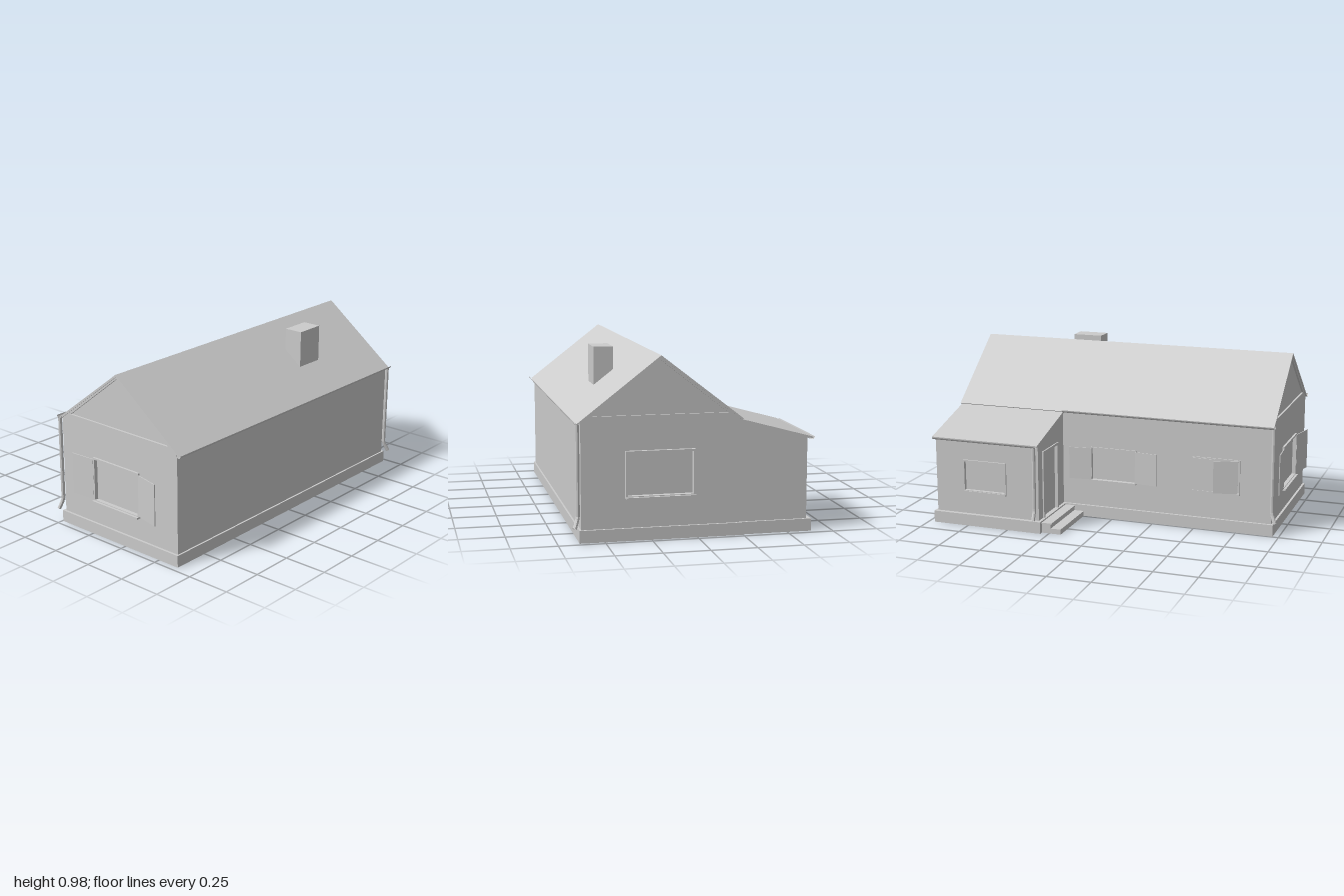
import * as THREE from 'three';

const mat = new THREE.MeshStandardMaterial({ color: 0xcccccc, flatShading: true, side: THREE.DoubleSide });
const T = 0.012; // wall thickness

function add(parent, name, geo, x = 0, y = 0, z = 0) {
  const m = new THREE.Mesh(geo, mat);
  m.name = name;
  m.position.set(x, y, z);
  parent.add(m);
  return m;
}
const poly = (pts) => new THREE.Shape(pts.map(([x, y]) => new THREE.Vector2(x, y)));
const rect = (x0, y0, x1, y1) => [[x0, y0], [x1, y0], [x1, y1], [x0, y1]];

// Flat slab from an outline, with optional holes, extruded along +z
function slab(outline, depth, holes = []) {
  const s = poly(outline);
  holes.forEach((h) => s.holes.push(poly(h)));
  return new THREE.ExtrudeGeometry(s, { depth, bevelEnabled: false });
}
const box = (p, name, x0, x1, y0, y1, z0, z1) =>
  add(p, name, new THREE.BoxGeometry(x1 - x0, y1 - y0, z1 - z0), (x0 + x1) / 2, (y0 + y1) / 2, (z0 + z1) / 2);

// Wall whose outer face is local z = 0; each recess becomes a hole closed by a panel behind
function wall(parent, name, outline, recesses, pos, turn) {
  const g = new THREE.Group();
  g.name = name;
  g.position.set(...pos);
  g.rotation.y = turn;
  add(g, name + 'Panel', slab(outline, T, recesses), 0, 0, -T);
  recesses.forEach((r) => add(g, 'recessPanel', new THREE.ShapeGeometry(poly(r)), 0, 0, -T + 0.001));
  parent.add(g);
  return g;
}

// Raised frame around an opening, with a sill if its depth is given
function frame(g, [x0, y0, x1, y1], w, out, sill = 0) {
  add(g, 'frame', slab(rect(x0, y0, x1, y1), out, [rect(x0 + w, y0 + w, x1 - w, y1 - w)]));
  if (sill) box(g, 'windowSill', x0, x1, y0 - 0.004, y0 + 0.006, 0, sill);
}

// Thin shutter hinged at x = hx, reaching to the side given by dir and swung outward
function shutter(g, hx, y0, y1, width, dir, angle) {
  const pivot = new THREE.Group();
  pivot.name = 'shutter';
  pivot.position.set(hx, 0, 0.008);
  pivot.rotation.y = -dir * angle;
  box(pivot, 'shutterLeaf', dir > 0 ? 0 : -width, dir > 0 ? width : 0, y0, y1, 0, 0.005);
  g.add(pivot);
}

// Half-round gutter along z
function gutter(p, x, y, r, z0, z1) {
  const geo = new THREE.CylinderGeometry(r, r, z1 - z0, 10, 1, true, -Math.PI / 2, Math.PI);
  geo.rotateX(Math.PI / 2);
  add(p, 'gutter', geo, x, y, (z0 + z1) / 2);
}

// Downpipe with a kicked-out foot
function downpipe(p, x, z, top, dx, dz) {
  const path = new THREE.CurvePath();
  const pts = [[x, top, z], [x, 0.135, z], [x + dx, 0.08, z + dz]].map((a) => new THREE.Vector3(...a));
  path.add(new THREE.LineCurve3(pts[0], pts[1]));
  path.add(new THREE.LineCurve3(pts[1], pts[2]));
  add(p, 'downpipe', new THREE.TubeGeometry(path, 24, 0.011, 8));
}

export function createModel() {
  const house = new THREE.Group();
  house.name = 'house';

  // L-shaped foundation band, open in the middle
  const base = slab(
    [[-0.245, -0.965], [0.635, -0.965], [0.635, 0.975], [-0.245, 0.975], [-0.245, 0.965], [-0.635, 0.965], [-0.635, 0.295], [-0.245, 0.295]],
    0.068,
    [[[-0.215, -0.935], [0.605, -0.935], [0.605, 0.945], [-0.595, 0.945], [-0.595, 0.325], [-0.215, 0.325]]]
  );
  base.rotateX(-Math.PI / 2);
  add(house, 'foundation', base);

  // Gable walls with a recessed triangle
  const gable = (m) => [[-0.23, 0.06], [0.625, 0.06], [0.625, 0.64], [0.197, 0.963], [-0.23, 0.64]].map(([x, y]) => [x * m, y]);
  const triangle = (m) => [[-0.165, 0.665], [0.56, 0.665], [0.197, 0.95]].map(([x, y]) => [x * m, y]);
  const fw = [0.012, 0.2, 0.355, 0.46];
  const front = wall(house, 'frontWall', gable(1), [triangle(1), rect(0.022, 0.21, 0.345, 0.45)], [0, 0, 0.952], 0);
  frame(front, fw, 0.01, 0.012, 0.026);
  shutter(front, 0.012, 0.21, 0.45, 0.152, -1, 0.06);
  shutter(front, 0.355, 0.21, 0.45, 0.153, 1, 0.22);
  const back = wall(house, 'backWall', gable(-1), [triangle(-1), rect(-0.38, 0.24, -0.025, 0.47)], [0, 0, -0.962], Math.PI);
  frame(back, [-0.39, 0.23, -0.015, 0.48], 0.01, 0.02, 0.038);

  // Long side walls
  wall(house, 'rightWall', rect(-0.952, 0.06, 0.962, 0.64), [], [0.625, 0, 0], Math.PI / 2);
  const leftHoles = [[0.49, 0.76], [-0.13, 0.14]];
  const left = wall(house, 'leftWall', rect(-0.32, 0.06, 0.952, 0.64),
    leftHoles.map(([a, b]) => rect(a, 0.23, b, 0.42)), [-0.23, 0, 0], -Math.PI / 2);
  leftHoles.forEach(([a, b]) => frame(left, [a - 0.006, 0.224, b + 0.006, 0.426], 0.006, 0.007, 0.016));
  shutter(left, 0.755, 0.23, 0.42, 0.14, -1, 0.24);
  shutter(left, 0.49, 0.23, 0.42, 0.13, 1, 0);
  shutter(left, 0.14, 0.23, 0.42, 0.135, 1, 0.1);
  shutter(left, -0.13, 0.23, 0.42, 0.135, -1, 0.1);

  // Main roof
  add(house, 'mainRoof', slab(
    [[-0.25, 0.63], [-0.24, 0.623], [0.197, 0.962], [0.635, 0.623], [0.645, 0.63], [0.197, 0.976]], 1.925), 0, 0, -0.967);

  // Chimney cut to the roof slope
  add(house, 'chimney', slab([[0.36, 0.84], [0.47, 0.755], [0.47, 0.976], [0.36, 0.976]], 0.178), 0, 0, -0.468);

  // Lean-to walls, door and side window
  const lean = (m) => [[-0.61, 0.06], [-0.23, 0.06], [-0.23, 0.618], [-0.61, 0.515]].map(([x, y]) => [x * m, y]);
  const porch = wall(house, 'leanToFront', lean(1), [rect(-0.535, 0.062, -0.34, 0.448)], [0, 0, -0.312], 0);
  const doorTrim = [[-0.55, 0.06], [-0.535, 0.06], [-0.535, 0.448], [-0.34, 0.448], [-0.34, 0.06], [-0.325, 0.06], [-0.325, 0.462], [-0.55, 0.462]];
  add(porch, 'doorFrame', slab(doorTrim, 0.008));
  wall(house, 'leanToBack', lean(-1), [], [0, 0, -0.952], Math.PI);
  const side = wall(house, 'leanToSide', rect(-0.952, 0.06, -0.312, 0.515), [rect(-0.77, 0.21, -0.52, 0.38)], [-0.61, 0, 0], -Math.PI / 2);
  frame(side, [-0.78, 0.2, -0.51, 0.39], 0.01, 0.01, 0.016);

  // Lean-to roof
  add(house, 'leanToRoof', slab([[-0.64, 0.507], [-0.225, 0.62], [-0.225, 0.63], [-0.64, 0.517]], 0.655), 0, 0, -0.96);

  // Entrance steps
  box(house, 'lowerStep', -0.61, -0.245, 0, 0.03, -0.3, -0.18);
  box(house, 'upperStep', -0.61, -0.245, 0.03, 0.06, -0.31, -0.24);
  box(house, 'stepTread', -0.612, -0.245, 0.052, 0.06, -0.31, -0.235);

  // Gutters and downpipes
  gutter(house, 0.643, 0.64, 0.016, -0.972, 0.962);
  gutter(house, -0.248, 0.64, 0.016, -0.305, 0.962);
  gutter(house, -0.635, 0.518, 0.016, -0.955, -0.315);
  downpipe(house, 0.641, -0.957, 0.63, 0.02, -0.022);
  downpipe(house, -0.245, 0.957, 0.63, -0.014, 0.022);
  downpipe(house, -0.635, -0.328, 0.51, -0.024, 0);
  return house;
}
